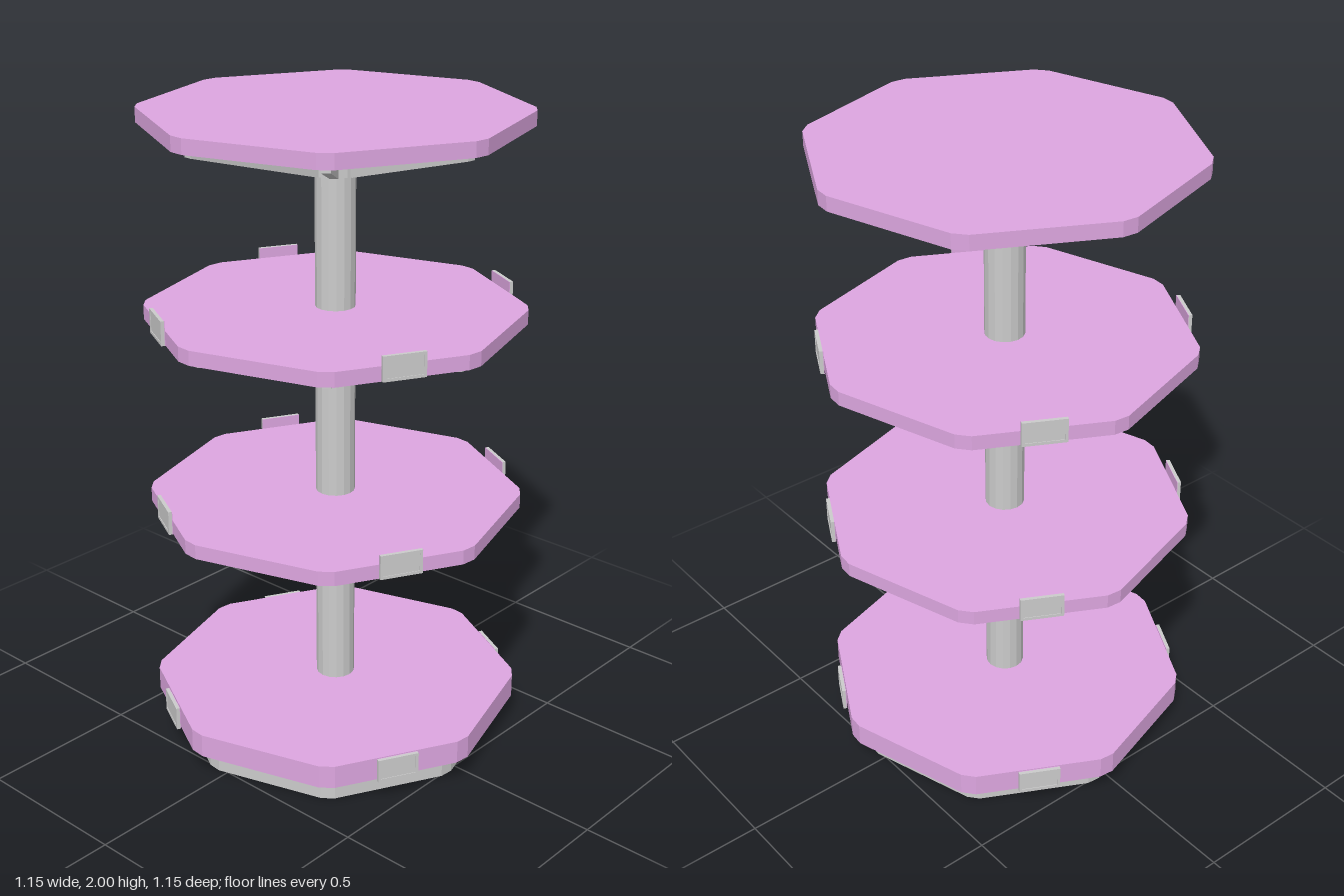
import * as THREE from 'three';

const grey = new THREE.MeshStandardMaterial({ color: 0xcccccc, flatShading: true });
const pink = new THREE.MeshStandardMaterial({ color: 0xdda6e0, flatShading: true });
const rad = THREE.MathUtils.degToRad;
const CORNER = rad(84.5); // direction of the first octagon corner

function add(parent, name, geometry, material) {
  const mesh = new THREE.Mesh(geometry, material);
  mesh.name = name;
  parent.add(mesh);
  return mesh;
}

// Regular octagon with clipped corners, extruded upwards from y = 0
function octagonSlab(scale, height) {
  const points = [];
  for (let i = 0; i < 8; i++) {
    for (const side of [-1, 1]) {
      const a = CORNER + i * Math.PI / 4 + side * rad(2.35);
      points.push(new THREE.Vector2(Math.cos(a), Math.sin(a)).multiplyScalar(0.576 * scale));
    }
  }
  const geo = new THREE.ExtrudeGeometry(new THREE.Shape(points), { depth: height, bevelEnabled: false });
  return geo.rotateX(-Math.PI / 2);
}

function rectangle(w, h, Type = THREE.Shape) {
  return new Type([[-w, -h], [w, -h], [w, h], [-w, h]].map(([x, y]) => new THREE.Vector2(x / 2, y / 2)));
}

// Four framed label plates, one on every second edge
function addLabels(parent, y) {
  const outline = rectangle(0.13, 0.075);
  outline.holes.push(rectangle(0.112, 0.057, THREE.Path));
  const frameGeo = new THREE.ExtrudeGeometry(outline, { depth: 0.011, bevelEnabled: false });
  for (let k = 0; k < 4; k++) {
    const label = new THREE.Group();
    label.name = 'labelHolder';
    label.rotation.y = rad(152 + 90 * k);
    label.position.set(Math.sin(label.rotation.y) * 0.5445, y, Math.cos(label.rotation.y) * 0.5445);
    add(label, 'labelFrame', frameGeo, grey);
    add(label, 'labelPlate', new THREE.BoxGeometry(0.112, 0.057, 0.006), grey).position.z = 0.006;
    add(label, 'labelBack', new THREE.BoxGeometry(0.13, 0.075, 0.002), pink).position.z = -0.0005;
    parent.add(label);
  }
}

// Hub and eight tapering ribs hanging below a shelf (top of the ribs at y = 0)
function addSupport(parent) {
  const hub = add(parent, 'hub', new THREE.CylinderGeometry(0.08, 0.08, 0.145, 16), grey);
  hub.position.y = -0.0725;
  const profile = new THREE.Shape([[0.06, -0.145], [0.085, -0.145], [0.538, -0.018], [0.538, 0], [0.06, 0]]
    .map(([x, y]) => new THREE.Vector2(x, y)));
  const ribGeo = new THREE.ExtrudeGeometry(profile, { depth: 0.026, bevelEnabled: false });
  ribGeo.translate(0, 0, -0.013);
  for (let i = 0; i < 8; i++) {
    add(parent, 'rib', ribGeo, grey).rotation.y = CORNER + i * Math.PI / 4;
  }
}

export function createModel() {
  const model = new THREE.Group();
  model.name = 'displayStand';

  // Plinth and thick bottom shelf
  add(model, 'plinth', octagonSlab(0.887, 0.082), grey);
  add(model, 'bottomShelf', octagonSlab(1, 0.074), pink).position.y = 0.082;
  addLabels(model, 0.117);

  // Centre pole
  const pole = add(model, 'pole', new THREE.CylinderGeometry(0.061, 0.061, 1.82, 16), grey);
  pole.position.y = 0.1 + 0.91;

  // Three upper shelves, the top one without labels
  [0.803, 1.404, 2].forEach((top, i) => {
    const tier = new THREE.Group();
    tier.name = 'tier';
    tier.position.y = top - 0.045;
    add(tier, 'shelf', octagonSlab(1, 0.045), pink);
    addSupport(tier);
    if (i < 2) addLabels(tier, 0.04);
    model.add(tier);
  });
  return model;
}
